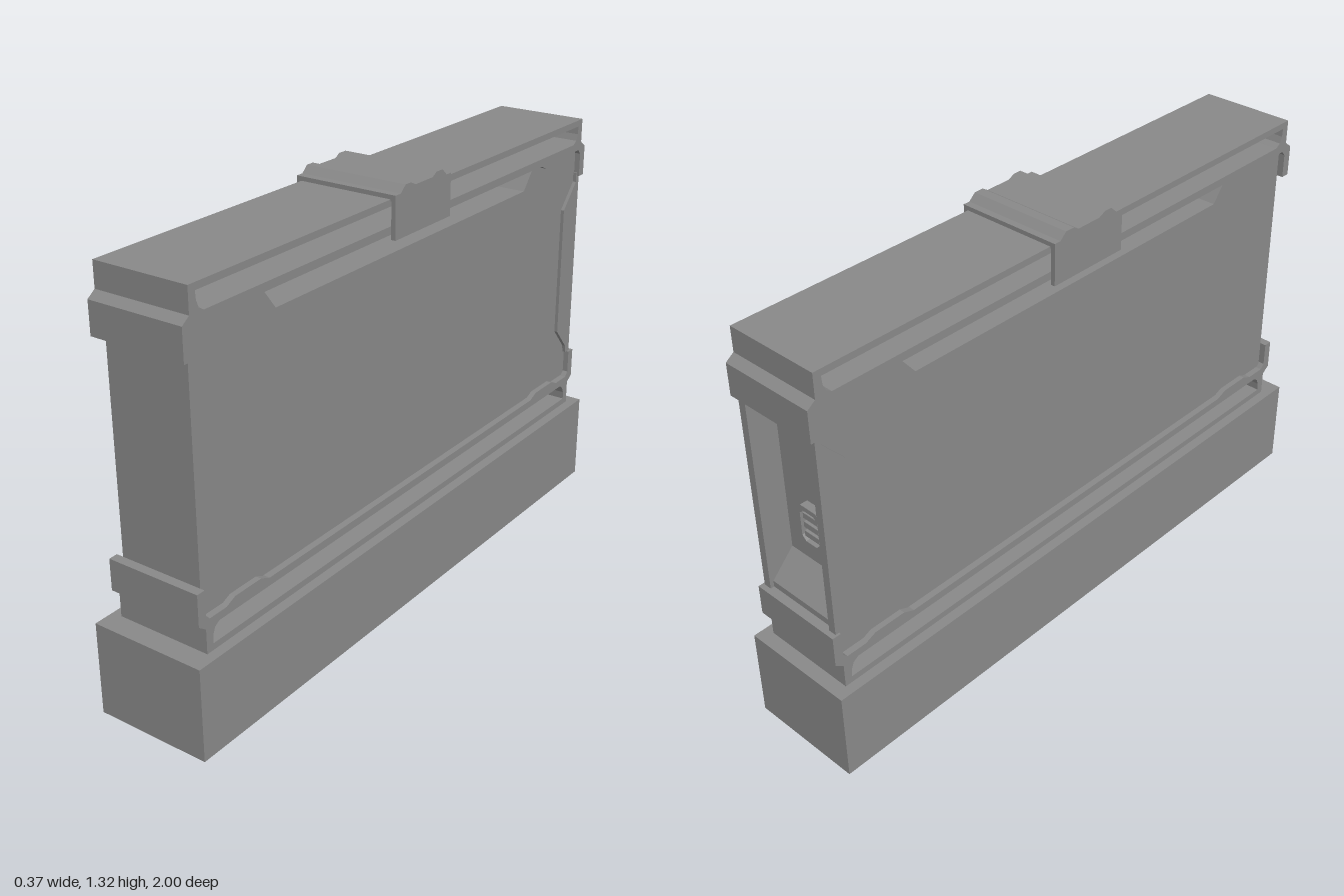
import * as THREE from 'three';

const grey = new THREE.MeshStandardMaterial({ color: 0x888888, side: THREE.DoubleSide });
grey.name = 'grey';

const CZ = -0.011; // centre of the framed panel along z

function part(name, geometry) {
  const mesh = new THREE.Mesh(geometry, grey);
  mesh.name = name;
  return mesh;
}

const toVectors = (points) => points.map(([a, b]) => new THREE.Vector2(a, b));

// Extrudes a side profile of [z, y] points across x, from x0 to x1
function sideExtrude(points, x0, x1, hole) {
  const shape = new THREE.Shape(toVectors(points));
  if (hole) shape.holes.push(new THREE.Path(toVectors(hole)));
  const g = new THREE.ExtrudeGeometry(shape, { depth: x1 - x0, bevelEnabled: false });
  return g.rotateY(-Math.PI / 2).translate(x1, 0, 0);
}

// Mirrors half a profile about the panel centre to close it
function mirrored(half) {
  return [
    ...half.map(([z, y]) => [CZ + z, y]),
    ...half.slice().reverse().map(([z, y]) => [CZ - z, y]),
  ];
}

function roundedLoop(w, h, c) {
  return toVectors([
    [-w + c, -h], [w - c, -h], [w, -h + c], [w, h - c],
    [w - c, h], [-w + c, h], [-w, h - c], [-w, -h + c],
  ]);
}

function createBase() {
  // Hollow plinth, open underneath
  const g = new THREE.BoxGeometry(0.366, 0.285, 2).translate(0, 0.1425, 0);
  const index = Array.from(g.index.array);
  index.splice(18, 6);
  g.setIndex(index);
  g.clearGroups();
  return part('base', g);
}

function createFrame(name, flip) {
  const v = (points) => points.map(([z, y]) => [z, flip ? 1.575 - y : y]);
  const outline = v([
    [0.946, 1.29], [0.946, 1.215], [0.972, 1.196], [0.972, 1.1], [0.944, 1.1],
    [0.944, 1.175], [0.93, 1.19], [0.865, 1.19], [0.83, 1.175], [0.725, 1.175], [0.69, 1.19],
  ]);
  const hole = v([
    [0.922, 1.27], [0.92, 1.245], [0.912, 1.225], [0.895, 1.214],
  ]);
  return part(name, sideExtrude(mirrored(outline), -0.152, 0.152, mirrored(hole)));
}

function createPanel() {
  const group = new THREE.Group();
  group.name = 'panel';
  // Slab with a notched top and a sloped recess in the back end
  group.add(part('panelBody', sideExtrude([
    [0.929, 0.388], [0.929, 1.175], [0.915, 1.19], [0.65, 1.19], [0.6, 1.125],
    [-0.627, 1.125], [-0.68, 1.19], [-0.945, 1.19], [-0.962, 1.175], [-0.962, 1.085],
    [-0.88, 1.0], [-0.88, 0.572], [-0.955, 0.495], [-0.955, 0.388],
  ], -0.134, 0.134)));
  // Side cheeks around the recess
  for (const s of [-1, 1]) {
    const x = [s * 0.12, s * 0.145].sort((a, b) => a - b);
    group.add(part('recessCheek', sideExtrude([
      [-0.967, 0.475], [-0.945, 0.475], [-0.94, 0.5], [-0.878, 0.572],
      [-0.878, 1.0], [-0.95, 1.08], [-0.95, 1.11], [-0.967, 1.11],
    ], x[0], x[1])));
  }
  return group;
}

function createLatch() {
  const group = new THREE.Group();
  group.name = 'latch';
  const rim = new THREE.Shape(roundedLoop(0.05, 0.066, 0.02));
  rim.holes.push(new THREE.Path(roundedLoop(0.035, 0.051, 0.014)));
  group.add(part('latchRim', new THREE.ExtrudeGeometry(rim, { depth: 0.025, bevelEnabled: false })));
  for (let i = -1; i <= 1; i++) {
    group.add(part('latchBar', new THREE.BoxGeometry(0.056, 0.018, 0.02).translate(0, i * 0.03, 0.014)));
  }
  group.position.set(0, 0.71, -0.904);
  return group;
}

function createClip() {
  const group = new THREE.Group();
  group.name = 'clip';
  // Ridged top over the strap
  const crown = [
    [0.125, 1.303], [0.1, 1.303], [0.078, 1.323], [0.052, 1.323], [0.03, 1.312],
    [-0.055, 1.312], [-0.073, 1.323], [-0.104, 1.323], [-0.126, 1.303], [-0.148, 1.303],
  ];
  group.add(part('clipTop', sideExtrude([...crown, [-0.148, 1.285], [0.125, 1.285]], -0.168, 0.168)));
  // Side plates hanging over both edges
  for (const s of [-1, 1]) {
    group.add(part('clipSide', new THREE.BoxGeometry(0.014, 0.112, 0.273)
      .translate(s * 0.161, 1.232, -0.0115)));
  }
  return group;
}

export function createModel() {
  const model = new THREE.Group();
  model.name = 'framedPanelOnBase';
  model.add(
    createBase(),
    createFrame('lowerFrame', true),
    createFrame('upperFrame', false),
    createPanel(),
    createLatch(),
    createClip(),
  );
  return model;
}
